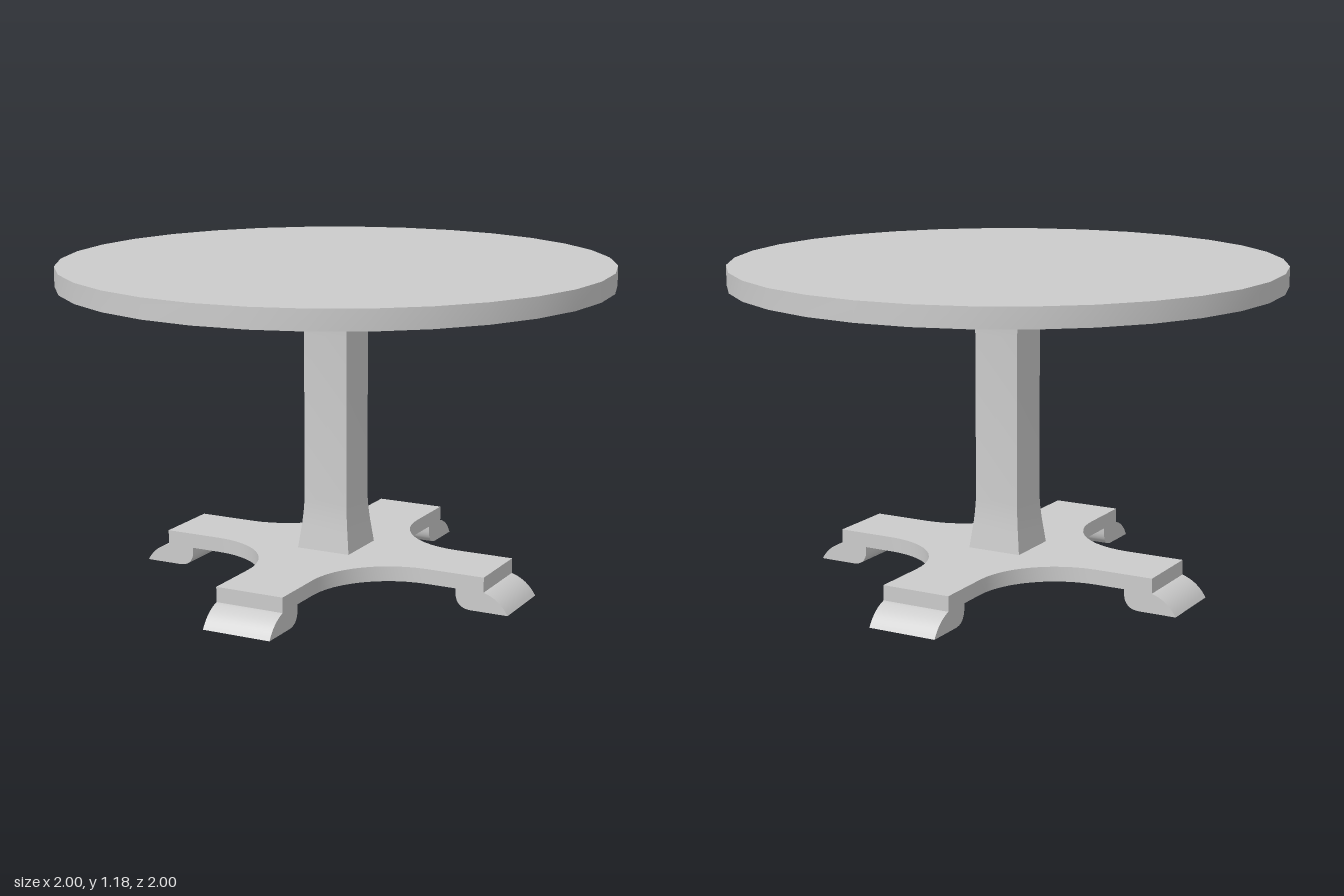
import * as THREE from 'three';
import { toCreasedNormals } from 'three/addons/utils/BufferGeometryUtils.js';

const material = new THREE.MeshStandardMaterial({ color: 0xcccccc });
const PLATE_BOTTOM = 0.072, PLATE_TOP = 0.127, TOP_BOTTOM = 1.105, TOP = 1.177;
const LEG = 0.647, HALF = 0.13, FILLET = 0.3;

function part(name, geometry, crease = 0.6) {
  const mesh = new THREE.Mesh(toCreasedNormals(geometry, crease), material);
  mesh.name = name;
  return mesh;
}

// Cross-shaped plan with rounded inner corners between the four legs
function crossShape() {
  const points = [];
  const steps = 12;
  const c = HALF + FILLET;
  for (let k = 0; k < 4; k++) {
    const turn = (x, y) => points.push(
      new THREE.Vector2(x, y).rotateAround(new THREE.Vector2(), k * Math.PI / 2));
    turn(LEG, -HALF);
    turn(LEG, HALF);
    for (let i = 0; i <= steps; i++) {
      const a = -Math.PI / 2 * (1 + i / steps);
      turn(c + FILLET * Math.cos(a), c + FILLET * Math.sin(a));
    }
  }
  return new THREE.Shape(points);
}

// Side profile of a foot: flared outer face, rounded inner heel
function footGeometry() {
  const s = new THREE.Shape();
  s.moveTo(0.54, PLATE_BOTTOM);
  s.lineTo(0.54, 0.05);
  s.quadraticCurveTo(0.545, 0, 0.6, 0);
  s.lineTo(0.739, 0);
  s.quadraticCurveTo(0.708, 0.055, LEG, PLATE_BOTTOM);
  s.closePath();
  return new THREE.ExtrudeGeometry(s, { depth: 2 * HALF, bevelEnabled: false, curveSegments: 8 })
    .translate(0, 0, -HALF);
}

export function createModel() {
  const table = new THREE.Group();
  table.name = 'pedestalTable';

  // Round top
  const top = part('tableTop', new THREE.CylinderGeometry(1, 1, TOP - TOP_BOTTOM, 32));
  top.position.y = (TOP + TOP_BOTTOM) / 2;
  table.add(top);

  // Square column, flared at both ends, corners on the x and z axes
  const flare = [[0.147, 0], [0.139, 0.045], [0.131, 0.09], [0.125, 0.135], [0.121, 0.185]];
  const profile = [
    ...flare.map(([r, h]) => new THREE.Vector2(r, PLATE_TOP + h)),
    ...flare.slice().reverse().map(([r, h]) => new THREE.Vector2(r, TOP_BOTTOM - h)),
  ];
  table.add(part('column', new THREE.LatheGeometry(profile, 4)));

  // Base with legs along the diagonals
  const base = new THREE.Group();
  base.name = 'base';
  base.rotation.y = Math.PI / 4;
  const plate = part('basePlate', new THREE.ExtrudeGeometry(crossShape(),
    { depth: PLATE_TOP - PLATE_BOTTOM, bevelEnabled: false }).rotateX(-Math.PI / 2));
  plate.position.y = PLATE_BOTTOM;
  base.add(plate);

  // One foot under each leg
  const foot = footGeometry();
  for (let k = 0; k < 4; k++) {
    const mesh = part('foot', foot);
    mesh.rotation.y = k * Math.PI / 2;
    base.add(mesh);
  }
  table.add(base);
  return table;
}
